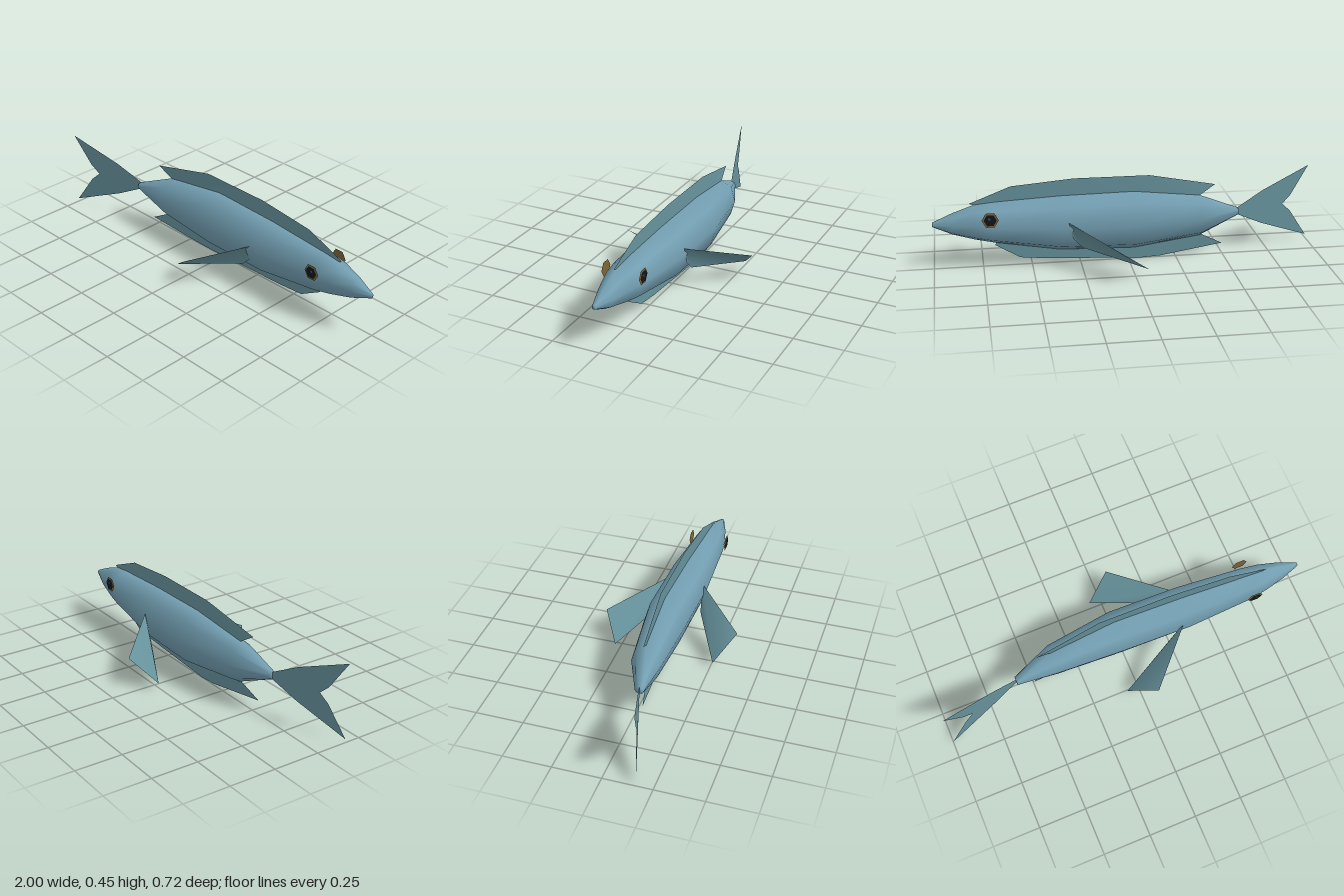
import * as THREE from 'three';

// Body cross-sections from tail to nose: x, bottom y, top y, centre z, half width
const SECTIONS = [
  [-0.59, 0.213, 0.213, 0.048, 0],
  [-0.59, 0.195, 0.233, 0.048, 0.023],
  [-0.38, 0.104, 0.323, 0.013, 0.078],
  [-0.03, 0.060, 0.366, -0.002, 0.110],
  [0.35, 0.067, 0.358, 0.007, 0.112],
  [0.70, 0.122, 0.337, 0.018, 0.088],
  [0.79, 0.142, 0.327, 0.019, 0.073],
  [0.90, 0.175, 0.288, 0.019, 0.046],
  [1.00, 0.220, 0.243, 0.020, 0.010],
  [1.00, 0.231, 0.231, 0.020, 0],
];
const SIDES = 8;

// Sideways bend of the spine at a given x, continued through the tail
const SPINE = [[-1, 0.167], ...SECTIONS.slice(1, -1).map((s) => [s[0], s[3]])];
function spineZ(x) {
  let i = 1;
  while (i < SPINE.length - 1 && x > SPINE[i][0]) i++;
  const [x0, z0] = SPINE[i - 1], [x1, z1] = SPINE[i];
  return THREE.MathUtils.mapLinear(x, x0, x1, z0, z1);
}

function material(color, side = THREE.DoubleSide) {
  return new THREE.MeshStandardMaterial({ color, side });
}

function surface(positions, index) {
  const g = new THREE.BufferGeometry();
  g.setAttribute('position', new THREE.Float32BufferAttribute(positions, 3));
  g.setIndex(index);
  g.computeVertexNormals();
  return g;
}

// Eight-sided rings joined along the spine
function bodyGeometry() {
  const pos = [], index = [];
  SECTIONS.forEach(([x, y0, y1, z, w], i) => {
    for (let j = 0; j < SIDES; j++) {
      const t = (j / SIDES) * Math.PI * 2;
      pos.push(x, (y0 + y1) / 2 + ((y1 - y0) / 2) * Math.cos(t), z + w * Math.sin(t));
      if (i === SECTIONS.length - 1) continue;
      const a = i * SIDES + j, b = i * SIDES + ((j + 1) % SIDES);
      index.push(a, b, a + SIDES, b, b + SIDES, a + SIDES);
    }
  });
  return surface(pos, index);
}

// Thin strip between an outer edge and a base line, following the spine
function stripFin(rows) {
  const pos = [], index = [];
  rows.forEach(([ox, oy, bx, by], i) => {
    pos.push(ox, oy, spineZ(ox), bx, by, spineZ(bx));
    if (i) {
      const k = i * 2;
      index.push(k - 2, k - 1, k, k - 1, k + 1, k);
    }
  });
  return surface(pos, index);
}

export function createModel() {
  const model = new THREE.Group();
  const add = (name, geometry, mat, parent = model) => {
    const mesh = new THREE.Mesh(geometry, mat);
    mesh.name = name;
    parent.add(mesh);
    return mesh;
  };
  const finMat = material(0x66929c);

  add('body', bodyGeometry(), material(0x739fb2, THREE.FrontSide));

  // Long fins: outer x, y, then base x, y
  add('dorsalFin', stripFin([
    [-0.46, 0.375, -0.37, 0.318],
    [-0.11, 0.448, -0.03, 0.355],
    [0.28, 0.448, 0.35, 0.348],
    [0.60, 0.418, 0.66, 0.33],
    [0.81, 0.335, 0.78, 0.32],
  ]), finMat);
  add('bellyFin', stripFin([
    [-0.505, 0.045, -0.38, 0.112],
    [-0.17, 0.004, -0.10, 0.08],
    [-0.07, 0.0, -0.03, 0.072],
    [0.435, 0.022, 0.38, 0.082],
    [0.56, 0.033, 0.54, 0.105],
    [0.685, 0.105, 0.68, 0.125],
  ]), finMat);

  // Forked tail, swept sideways
  const tail = new THREE.ShapeGeometry(new THREE.Shape([
    [-0.585, 0.232], [-0.73, 0.307], [-1, 0.412], [-0.9, 0.258], [-0.853, 0.214],
    [-0.9, 0.17], [-1, 0.018], [-0.73, 0.125], [-0.585, 0.197],
  ].map(([x, y]) => new THREE.Vector2(x, y))));
  const p = tail.attributes.position;
  for (let i = 0; i < p.count; i++) p.setZ(i, spineZ(p.getX(i)));
  tail.computeVertexNormals();
  add('tailFin', tail, finMat);

  const goldMat = material(0x7d6536), darkMat = material(0x10161c), glintMat = material(0x3a4f66);
  for (const s of [1, -1]) {
    const side = s > 0 ? 'left' : 'right';

    // Side fin with a curved root, fanned from its upper root corner
    const fin = [
      0.318, 0.247, 0.10 * s,
      0.07, 0.152, 0.358 * s,
      -0.065, 0.04, 0.266 * s,
      0.25, 0.114, 0.108 * s,
      0.297, 0.163, 0.10 * s,
    ];
    add(side + 'SideFin', surface(fin, [0, 1, 2, 0, 2, 3, 0, 3, 4]), finMat);

    // Eye of stacked hexagonal discs
    const eye = new THREE.Group();
    eye.name = side + 'Eye';
    eye.position.set(0.71, 0.274, s > 0 ? 0.119 : -0.079);
    add('iris', new THREE.CircleGeometry(0.043, 6), goldMat, eye);
    add('pupil', new THREE.CircleGeometry(0.033, 6), darkMat, eye).position.z = 0.003 * s;
    const glint = add('glint', new THREE.CircleGeometry(0.007, 6), glintMat, eye);
    glint.position.set(0.004, 0.008, 0.005 * s);
    model.add(eye);
  }
  return model;
}
